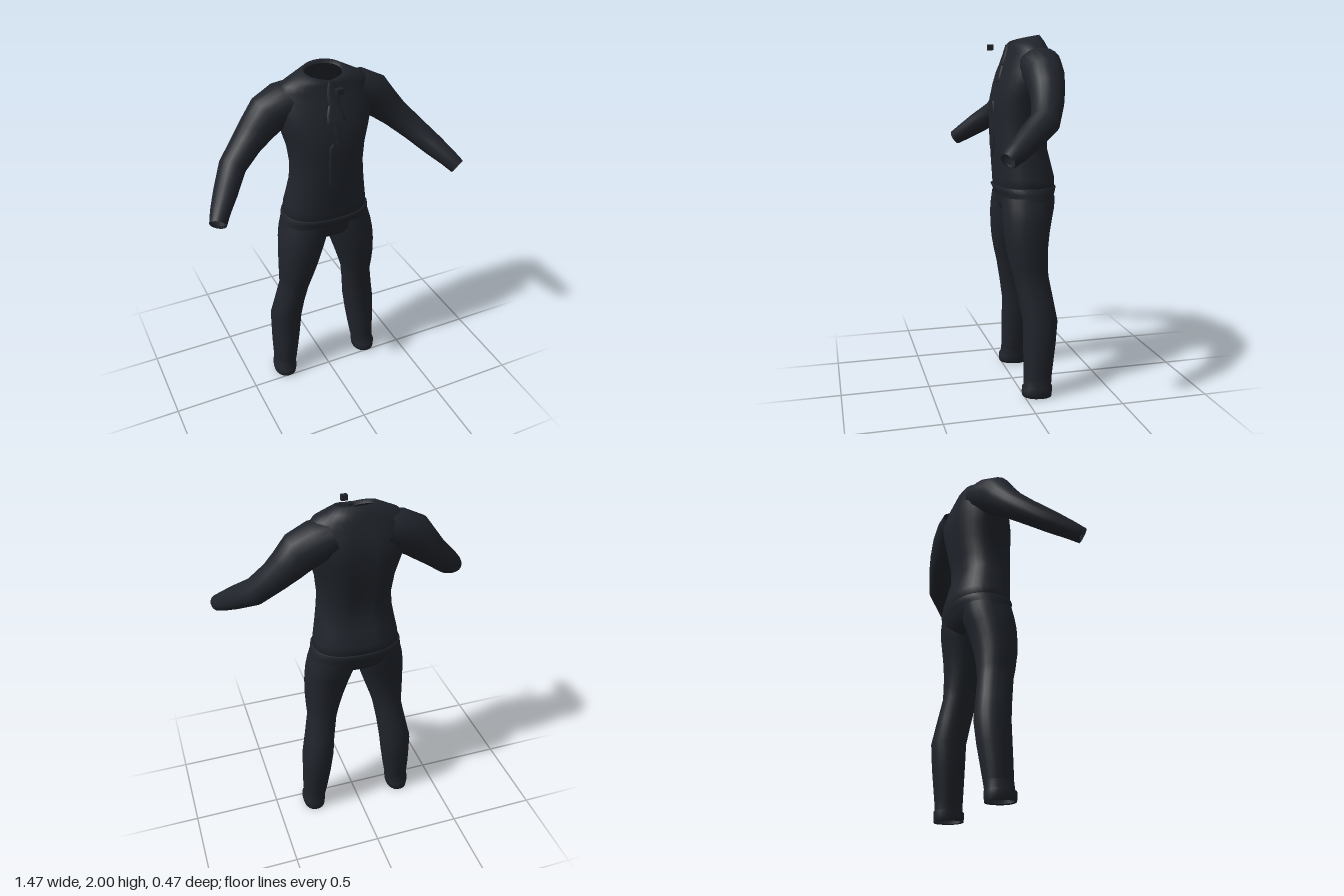
import * as THREE from 'three';

const cloth = new THREE.MeshStandardMaterial({ color: 0x20242b, side: THREE.DoubleSide });

// Skin a list of equal-length rings of Vector3 into one smooth open surface
function skin(name, rings) {
  const n = rings[0].length, index = [];
  for (let i = 0; i < rings.length - 1; i++) {
    for (let j = 0; j < n; j++) {
      const a = i * n + j, b = i * n + (j + 1) % n;
      index.push(a, b, a + n, b, b + n, a + n);
    }
  }
  const geometry = new THREE.BufferGeometry().setFromPoints(rings.flat());
  geometry.setIndex(index);
  geometry.computeVertexNormals();
  const mesh = new THREE.Mesh(geometry, cloth);
  mesh.name = name;
  return mesh;
}

// Horizontal section: superellipse from xMin to xMax and zBack to zFront
function section(y, xMin, xMax, zFront, zBack, power = 2.3, sides = 32) {
  const ring = [];
  const bend = v => Math.sign(v) * Math.pow(Math.abs(v), 2 / power);
  for (let j = 0; j < sides; j++) {
    const a = (j / sides) * Math.PI * 2;
    ring.push(new THREE.Vector3(
      (xMin + xMax) / 2 + bend(Math.cos(a)) * (xMax - xMin) / 2, y,
      (zFront + zBack) / 2 - bend(Math.sin(a)) * (zFront - zBack) / 2));
  }
  return ring;
}

// Shirt body: y, half width, front z, back z
const torso = [
  [1.13, 0.215, 0.085, -0.205], [1.175, 0.24, 0.102, -0.226], [1.22, 0.235, 0.105, -0.225],
  [1.3, 0.22, 0.112, -0.205], [1.38, 0.207, 0.117, -0.185], [1.47, 0.2, 0.12, -0.19],
  [1.58, 0.212, 0.122, -0.212], [1.66, 0.235, 0.116, -0.222], [1.73, 0.255, 0.098, -0.228],
  [1.8, 0.265, 0.075, -0.226], [1.86, 0.26, 0.052, -0.208], [1.9, 0.25, 0.038, -0.192],
  [1.93, 0.225, 0.03, -0.18],
];

// Chest depth at a given height
function chestZ(y) {
  let i = 1;
  while (i < torso.length - 1 && torso[i][0] < y) i++;
  const [p, q] = [torso[i - 1], torso[i]];
  return THREE.MathUtils.mapLinear(y, p[0], q[0], p[2], q[2]);
}

function makeShirt() {
  const rings = torso.map(([y, w, f, b]) => {
    const ring = section(y, -w, w, f, b, y > 1.85 ? 2.1 : 2.4);
    // shallow groove along the spine
    const depth = 0.016 * THREE.MathUtils.smoothstep(y, 1.25, 1.4) * (1 - THREE.MathUtils.smoothstep(y, 1.8, 1.93));
    ring.forEach(p => { if (p.z < -0.1) p.z += depth * Math.exp(-((p.x / 0.04) ** 2)); });
    return ring;
  });
  // neckline: low at the front, high at the sides and back
  const neck = (w, f, b, yFront, yBack) => {
    const ring = section(0, -w, w, f, b, 2);
    ring.forEach(p => {
      const t = THREE.MathUtils.clamp((f - p.z) / (f - b), 0, 1);
      p.y = THREE.MathUtils.lerp(yFront, yBack, Math.pow(t, 0.6));
    });
    return ring;
  };
  rings.push(neck(0.17, 0.028, -0.17, 1.94, 1.965));
  rings.push(neck(0.112, 0.02, -0.148, 1.95, 2));
  rings.push(neck(0.1, 0.008, -0.138, 1.93, 1.98));
  return skin('shirtBody', rings);
}

// Sleeve: centre x, y, z, half height, half depth
function makeSleeve() {
  const path = [
    [0.14, 1.85, -0.1, 0.085, 0.115], [0.21, 1.822, -0.1, 0.112, 0.115],
    [0.305, 1.775, -0.095, 0.112, 0.103], [0.37, 1.708, -0.088, 0.094, 0.094],
    [0.435, 1.645, -0.072, 0.079, 0.085], [0.53, 1.555, -0.03, 0.069, 0.077],
    [0.61, 1.475, 0.077, 0.06, 0.067], [0.665, 1.42, 0.15, 0.05, 0.055],
    [0.697, 1.383, 0.202, 0.044, 0.044], [0.69, 1.39, 0.194, 0.036, 0.036],
  ];
  const points = path.map(p => new THREE.Vector3(p[0], p[1], p[2]));
  const rings = path.map(([, , , h, d], i) => {
    const last = path.length - 2, k = Math.min(i, last);
    const t = points[Math.min(k + 1, last)].clone().sub(points[Math.max(k - 1, 0)]).normalize();
    const deep = new THREE.Vector3(0, 0, 1).addScaledVector(t, -t.z).normalize();
    const up = deep.clone().cross(t);
    return Array.from({ length: 20 }, (_, j) => {
      const a = (j / 20) * Math.PI * 2;
      return points[i].clone().addScaledVector(up, Math.cos(a) * h).addScaledVector(deep, Math.sin(a) * d);
    });
  });
  return skin('sleeve', rings);
}

// Trouser leg: y, inner x, outer x, front z, back z
function makeLeg() {
  const rows = [
    [0.1, 0.2, 0.335, 0.0, -0.155], [0.2, 0.183, 0.338, 0, -0.168],
    [0.3, 0.168, 0.337, 0, -0.182], [0.43, 0.152, 0.335, 0.0, -0.194],
    [0.55, 0.139, 0.31, 0.02, -0.174], [0.68, 0.118, 0.285, 0.045, -0.152],
    [0.74, 0.1, 0.288, 0.06, -0.15], [0.83, 0.07, 0.291, 0.078, -0.153],
    [0.92, 0.04, 0.289, 0.088, -0.166], [1, 0.013, 0.283, 0.092, -0.184],
    [1.06, -0.005, 0.272, 0.091, -0.2], [1.12, -0.01, 0.255, 0.085, -0.205],
  ];
  return skin('trouserLeg', rows.map(r => section(...r, 2.2, 24)));
}

// Turned-up cuff with a slanting lower edge
function makeCuff() {
  const rows = [
    [0.012, 0.225, 0.33, 0.002, -0.145], [0.008, 0.212, 0.338, 0.012, -0.155],
    [0.03, 0.208, 0.343, 0.015, -0.157], [0.058, 0.205, 0.345, 0.012, -0.157],
    [0.062, 0.208, 0.338, 0.004, -0.153], [0.11, 0.2, 0.335, 0.0, -0.156],
  ];
  const rings = rows.map(r => section(...r, 2.2, 24));
  rings.slice(0, 2).flat().forEach(p => { p.y += p.z * 0.06; p.y = Math.max(p.y, 0); });
  return skin('trouserCuff', rings);
}

// Tie piece following the chest: y, half width
function makeTiePiece(name, rows, lift) {
  return skin(name, rows.map(([y, w]) => section(y, -w, w, chestZ(y) + lift, chestZ(y) - 0.02, 4, 12)));
}

export function createModel() {
  const model = new THREE.Group();
  model.name = 'suit';
  model.add(makeShirt());

  // Seat and flared waistband of the trousers
  model.add(skin('trouserSeat', [
    [1.01, 0.1, 0.03, -0.13], [1.04, 0.2, 0.07, -0.175], [1.07, 0.262, 0.087, -0.202],
    [1.11, 0.259, 0.087, -0.216], [1.14, 0.254, 0.1, -0.226], [1.168, 0.25, 0.113, -0.234],
    [1.172, 0.24, 0.1, -0.224],
  ].map(([y, w, f, b]) => section(y, -w, w, f, b, 2.35))));

  // Sleeves and legs, mirrored
  for (const [name, side] of [['leftLimbs', 1], ['rightLimbs', -1]]) {
    const limbs = new THREE.Group();
    limbs.name = name;
    limbs.add(makeSleeve(), makeLeg(), makeCuff());
    limbs.scale.x = side;
    model.add(limbs);
  }

  // Tie
  const tie = new THREE.Group();
  tie.name = 'tie';
  tie.add(
    makeTiePiece('tieBlade', [[1.342, 0.003], [1.395, 0.052], [1.47, 0.055], [1.58, 0.055], [1.62, 0.052], [1.642, 0.035]], 0.006),
    makeTiePiece('tieStrip', [[1.64, 0.018], [1.7, 0.02], [1.75, 0.02]], 0.002),
    makeTiePiece('tieFold', [[1.745, 0.03], [1.75, 0.055], [1.79, 0.048], [1.83, 0.034], [1.835, 0.02]], 0.007),
    makeTiePiece('tieKnot', [[1.835, 0.025], [1.845, 0.034], [1.89, 0.03], [1.925, 0.022], [1.945, 0.015]], 0.012),
  );
  model.add(tie);

  // Small loose stud in front of the collar
  const stud = new THREE.Mesh(new THREE.BoxGeometry(0.036, 0.03, 0.026), cloth);
  stud.name = 'collarStud';
  stud.position.set(0, 1.93, 0.125);
  model.add(stud);
  return model;
}
